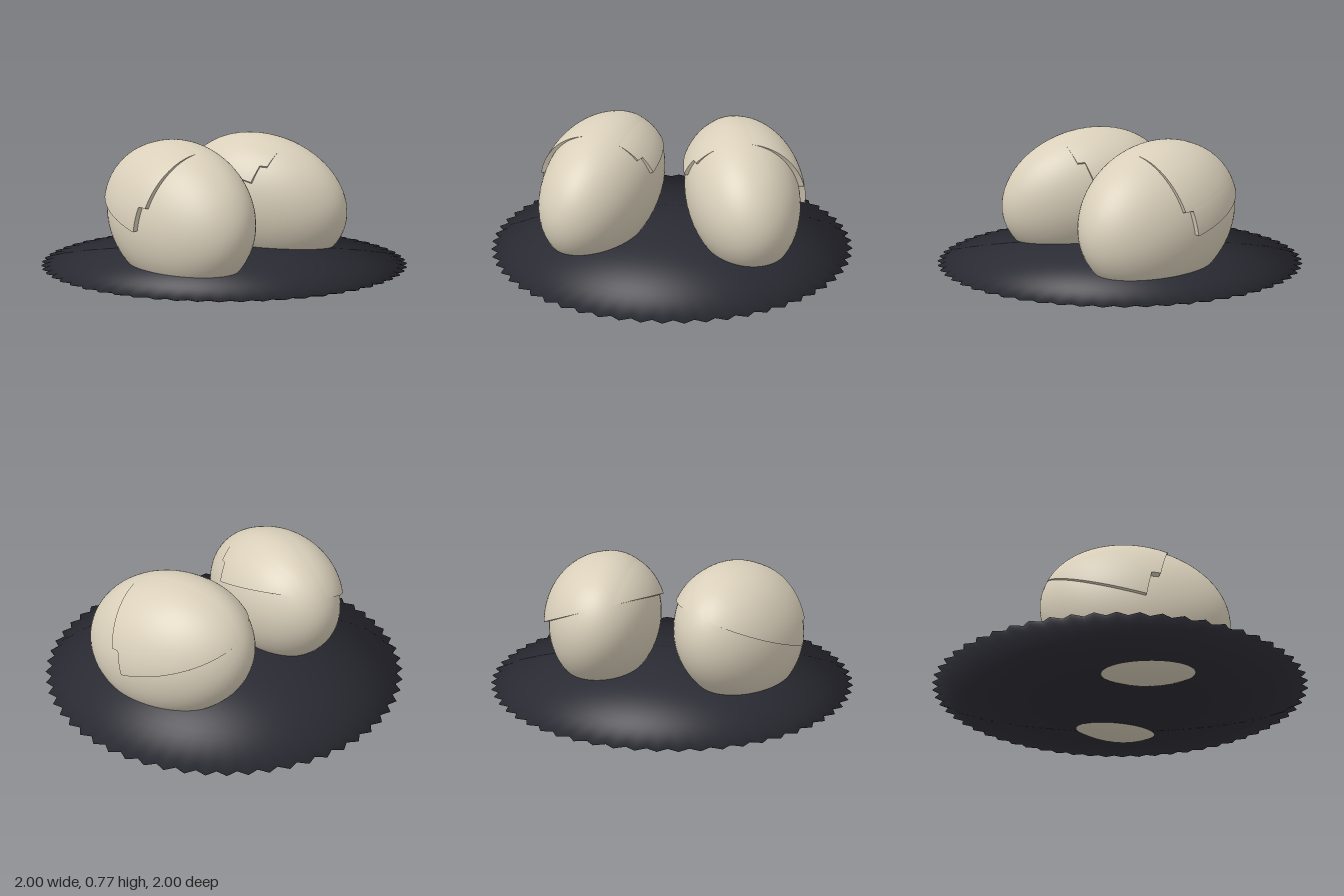
import * as THREE from 'three';

const shellMaterial = new THREE.MeshStandardMaterial({ color: 0xd9cfba, side: THREE.DoubleSide });
shellMaterial.name = 'cream';
const discMaterial = new THREE.MeshStandardMaterial({ color: 0x2b2b34 });
discMaterial.name = 'charcoal';

const CENTRE = new THREE.Vector3(0.385, 0.39, 0);
const TILT = new THREE.Euler(0.274, 0.25, 0.22, 'YXZ');
const BODY = new THREE.Vector3(0.308, 0.38, 0.5);
const CAP = new THREE.Vector3(0.339, 0.376, 0.498);

function namedMesh(name, geometry, material) {
  const mesh = new THREE.Mesh(geometry, material);
  mesh.name = name;
  return mesh;
}

// Flat lens-shaped disc with a toothed rim
function discGeometry(teeth) {
  const columns = teeth * 2;
  const geometry = new THREE.SphereGeometry(1, columns, 32);
  const p = geometry.attributes.position;
  for (let i = 0; i < p.count; i++) {
    const r = Math.hypot(p.getX(i), p.getZ(i));
    const k = (i % (columns + 1)) % 2 ? 1 - 0.035 * r ** 8 : 1;
    p.setXYZ(i, p.getX(i) * k, p.getY(i) * 0.05, p.getZ(i) * k);
  }
  return geometry;
}

// Grid of points turned into an indexed surface
function gridGeometry(rows, columns, point) {
  const positions = [], index = [];
  for (let i = 0; i <= rows; i++) {
    for (let j = 0; j <= columns; j++) {
      positions.push(...point(i / rows, j / columns).toArray());
      if (i < rows && j < columns) {
        const a = i * (columns + 1) + j, b = a + columns + 1;
        index.push(a, b, a + 1, b, b + 1, a + 1);
      }
    }
  }
  const geometry = new THREE.BufferGeometry();
  geometry.setAttribute('position', new THREE.Float32BufferAttribute(positions, 3));
  geometry.setIndex(index);
  geometry.computeVertexNormals();
  return geometry;
}

// Point on the raised cap: u runs front to back, v from outer edge to inner edge
const normal = new THREE.Vector3(0.324, 1, 0.221);
const planeOffset = 0.575 - normal.dot(CENTRE);
const inverse = new THREE.Quaternion().setFromEuler(TILT).invert();
const localNormal = normal.clone().applyQuaternion(inverse).multiply(CAP);

function capPoint(u, v) {
  const notch = v < 0.13 ? 0.09 : v > 0.89 ? 0.08 : 0;
  const front = 0.26 - 0.17 * v - notch;
  const w = Math.cos(THREE.MathUtils.lerp(Math.acos(front), Math.PI * 0.995, u));
  const r = Math.sqrt(1 - w * w);
  const reach = (planeOffset - localNormal.z * w) / (r * Math.hypot(localNormal.x, localNormal.y));
  const half = Math.acos(THREE.MathUtils.clamp(reach, -1, 1));
  const angle = Math.atan2(localNormal.y, localNormal.x) + (v * 2 - 1) * half;
  return new THREE.Vector3(r * Math.cos(angle), r * Math.sin(angle), w).multiply(CAP);
}

// Wall that drops from a cap edge into the body
function wallGeometry(edge) {
  return gridGeometry(96, 1, (t, s) => edge(t).multiplyScalar(1 - 0.13 * s));
}

function createEgg(name) {
  const egg = new THREE.Group();
  egg.name = name;
  egg.position.copy(CENTRE);
  egg.rotation.copy(TILT);
  const body = namedMesh('eggBody', new THREE.SphereGeometry(1, 64, 48), shellMaterial);
  body.scale.copy(BODY);
  egg.add(
    body,
    namedMesh('raisedCap', gridGeometry(48, 96, capPoint), shellMaterial),
    namedMesh('capFrontEdge', wallGeometry((t) => capPoint(0, t)), shellMaterial),
    namedMesh('capOuterEdge', wallGeometry((t) => capPoint(t, 0)), shellMaterial),
    namedMesh('capInnerEdge', wallGeometry((t) => capPoint(t, 1)), shellMaterial),
  );
  return egg;
}

export function createModel() {
  const model = new THREE.Group();
  model.name = 'eggsOnDisc';

  const disc = namedMesh('toothedDisc', discGeometry(60), discMaterial);
  disc.position.y = 0.095;
  model.add(disc);

  // Mirrored pair of eggs
  for (const side of [1, -1]) {
    const half = new THREE.Group();
    half.name = side > 0 ? 'leftHalf' : 'rightHalf';
    half.scale.x = side;
    half.add(createEgg(side > 0 ? 'leftEgg' : 'rightEgg'));
    model.add(half);
  }
  return model;
}
